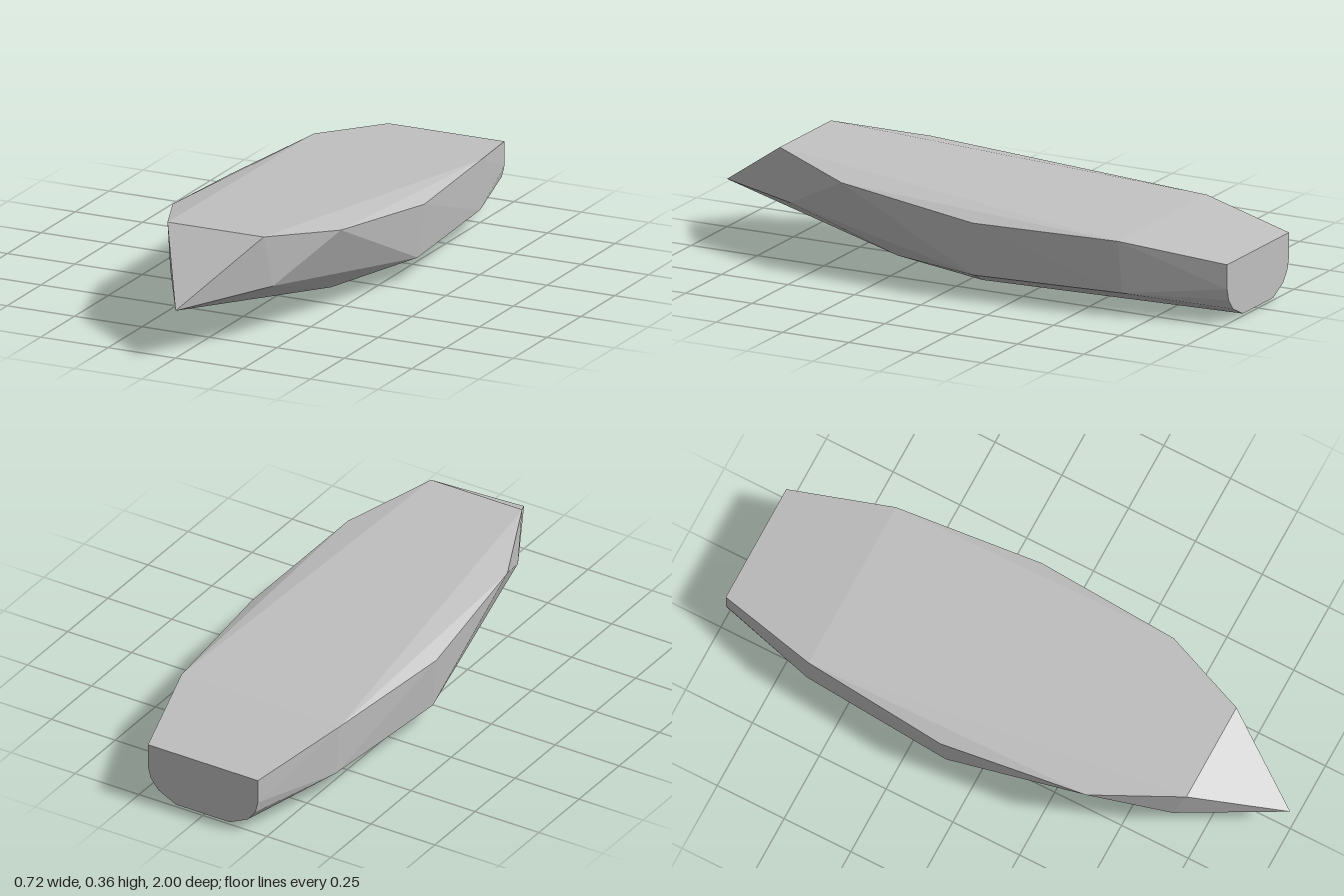
import * as THREE from 'three';
import { ConvexGeometry } from 'three/addons/geometries/ConvexGeometry.js';

export function createModel() {
  const group = new THREE.Group();
  group.name = 'facetedHull';
  const grey = new THREE.MeshStandardMaterial({ color: 0xc0c0c0 });
  grey.name = 'light grey';

  // Corners shared by both sides, as [x, y, z]
  const mirrored = [
    // deck rim, stern to bow
    [0.215, 0.205, -1], [0.31, 0.26, -0.64], [0.36, 0.263, -0.12],
    [0.312, 0.317, 0.4], [0.178, 0.362, 0.705],
    // lower side corners
    [0.3, 0.08, -0.65], [0.34, 0.077, -0.11], [0.19, 0.18, 0.66], [0.2, 0.058, 0.25],
    // rounded lower edge of the transom
    [0.215, 0.12, -1], [0.205, 0.08, -1], [0.175, 0.042, -1], [0.105, 0.008, -1],
  ];
  // Bow tip and the slightly uneven bottom
  const single = [
    [0, 0.165, 1],
    [-0.2, 0, -0.18], [-0.19, 0.012, 0.03], [0.22, 0.025, -0.08], [0.1, 0.004, -0.3],
  ];

  const points = single.map((p) => new THREE.Vector3(...p));
  for (const [x, y, z] of mirrored) {
    for (const side of [-1, 1]) points.push(new THREE.Vector3(side * x, y, z));
  }

  // Flat-faced solid hull spanning all corners
  const hull = new THREE.Mesh(new ConvexGeometry(points), grey);
  hull.name = 'hull';
  group.add(hull);
  return group;
}
